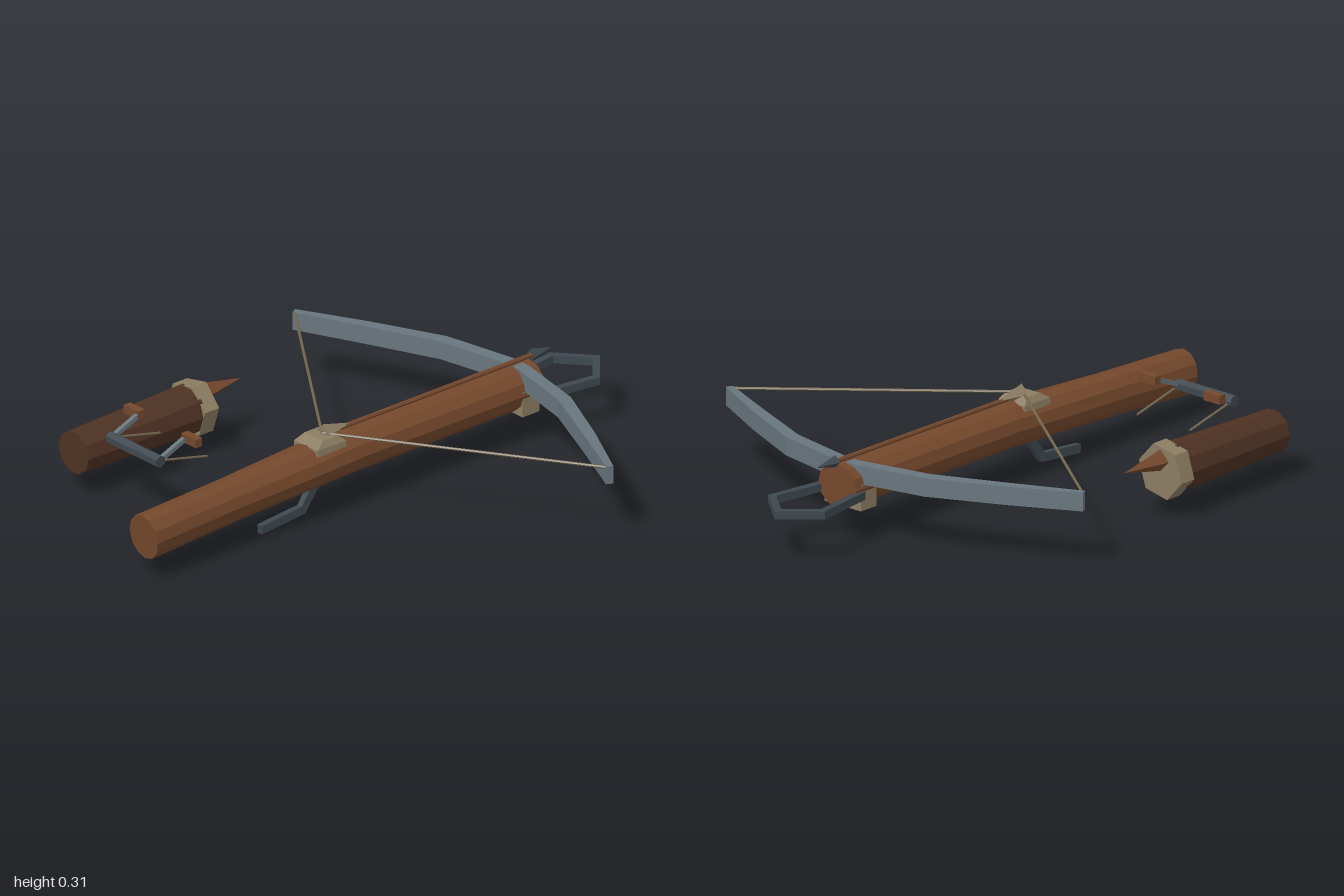
import * as THREE from 'three';

const mat = (color) => new THREE.MeshStandardMaterial({ color, flatShading: true });
const V = (x, y, z) => new THREE.Vector3(x, y, z);

// Closed skin over equal-sized rings of points, turned to face outward
function loft(rings) {
  const n = rings[0].length, pts = rings.flat(), idx = [];
  for (let i = 0; i < rings.length - 1; i++) {
    for (let j = 0; j < n; j++) {
      const a = i * n + j, b = i * n + (j + 1) % n;
      idx.push(a, b, a + n, b, b + n, a + n);
    }
  }
  const last = (rings.length - 1) * n;
  for (let j = 1; j < n - 1; j++) {
    idx.push(0, j + 1, j, last, last + j, last + j + 1);
  }
  let volume = 0;
  for (let i = 0; i < idx.length; i += 3) {
    volume += pts[idx[i]].dot(pts[idx[i + 1]].clone().cross(pts[idx[i + 2]]));
  }
  if (volume < 0) idx.reverse();
  const g = new THREE.BufferGeometry().setFromPoints(pts);
  g.setIndex(idx);
  const flat = g.toNonIndexed();
  flat.computeVertexNormals();
  return flat;
}

// Rectangular strip along a path lying in the plane with normal up, with mitred corners
function strip(path, up, widths, height) {
  return loft(path.map((p, i) => {
    const before = p.clone().sub(path[Math.max(i - 1, 0)]).normalize();
    const after = path[Math.min(i + 1, path.length - 1)].clone().sub(p).normalize();
    const side = up.clone().cross(before.clone().add(after)).normalize();
    const ends = i === 0 || i === path.length - 1;
    const cos = ends ? 1 : Math.sqrt((1 + before.dot(after)) / 2);
    const w = (Array.isArray(widths) ? widths[i] : widths) / 2 / cos;
    return [[1, 1], [-1, 1], [-1, -1], [1, -1]].map(([s, h]) =>
      p.clone().addScaledVector(side, s * w).addScaledVector(up, h * height / 2));
  }));
}

// Round or tapered rod from a to b
function rod(a, b, ra, rb = ra, sides = 6, turn = 0) {
  const d = b.clone().sub(a);
  const g = new THREE.CylinderGeometry(rb, ra, d.length(), sides);
  g.rotateY(turn);
  g.applyQuaternion(new THREE.Quaternion().setFromUnitVectors(V(0, 1, 0), d.normalize()));
  const m = a.clone().add(b).multiplyScalar(0.5);
  return g.translate(m.x, m.y, m.z);
}

const box = (x, y, z, w, h, d) => new THREE.BoxGeometry(w, h, d).translate(x, y, z);

export function createModel() {
  const model = new THREE.Group();
  const wood = mat(0x74482c), leather = mat(0x4e3222), steel = mat(0x68757d);
  const iron = mat(0x3e484f), bone = mat(0x8c7d62), cord = mat(0x74674f);
  const add = (name, geometry, material, parent = model) => {
    const mesh = new THREE.Mesh(geometry, material);
    mesh.name = name;
    parent.add(mesh);
    return mesh;
  };
  const group = (name) => {
    const g = new THREE.Group();
    g.name = name;
    model.add(g);
    return g;
  };

  // Stock: x, bottom, top, half width, lean of the end face
  const stations = [
    [-0.993, 0.07, 0.23, 0.07, -0.007], [-0.63, 0.092, 0.243, 0.072, -0.004],
    [-0.33, 0.105, 0.258, 0.084, 0], [-0.1, 0.112, 0.268, 0.084, 0], [0.69, 0.111, 0.265, 0.084, 0],
  ];
  add('stock', loft(stations.map(([x, lo, hi, w, lean]) =>
    Array.from({ length: 12 }, (_, i) => {
      const a = i / 12 * Math.PI * 2;
      return V(x + lean * Math.sin(a), (lo + hi) / 2 + (hi - lo) / 2 * Math.sin(a), w * Math.cos(a));
    }))), wood);
  add('bowMount', box(0.627, 0.157, 0, 0.075, 0.09, 0.162), bone);

  // Bow limbs as one curved strip, tapering to the tips
  const half = [[0.352, 0.785], [0.465, 0.555], [0.58, 0.3], [0.635, 0.03]];
  const limb = half.map(([x, z]) => V(x, 0.232, z));
  const otherLimb = half.map(([x, z]) => V(x, 0.232, -z)).reverse();
  add('bow', strip([...limb, ...otherLimb], V(0, 1, 0),
    [0.025, 0.04, 0.047, 0.045, 0.045, 0.047, 0.04, 0.025], 0.064), steel);
  for (const s of [1, -1]) {
    add('bowstring', rod(V(-0.215, 0.282, 0), V(0.35, 0.258, s * 0.778), 0.005), cord);
  }

  // Nut that holds the string: a low tapered block
  const nutRing = (y, x0, x1, w) => [V(x0, y, -w), V(x1, y, -w), V(x1, y, w), V(x0, y, w)];
  add('nut', loft([nutRing(0.235, -0.285, -0.16, 0.06), nutRing(0.258, -0.285, -0.16, 0.058),
    nutRing(0.28, -0.25, -0.185, 0.045)]), bone);

  // Loaded bolt
  const bolt = group('loadedBolt');
  add('boltShaft', rod(V(-0.2, 0.276, 0), V(0.71, 0.276, 0), 0.008), wood, bolt);
  add('boltHead', rod(V(0.7, 0.277, 0), V(0.79, 0.277, 0), 0.022, 0, 4), iron, bolt);
  add('boltFletching', rod(V(-0.21, 0.28, 0), V(-0.1, 0.28, 0), 0.032, 0.003, 4), bone, bolt);

  // Foot stirrup
  add('stirrup', strip([V(0.655, 0.166, 0.078), V(0.885, 0.166, 0.112), V(0.982, 0.166, 0),
    V(0.885, 0.166, -0.112), V(0.655, 0.166, -0.078)], V(0, 1, 0), 0.025, 0.028), iron);

  // Trigger lever
  add('trigger', strip([V(-0.235, 0.13, 0), V(-0.305, 0.033, 0), V(-0.487, 0.017, 0)],
    V(0, 0, 1), 0.03, 0.022), iron);

  // Quiver with rim and a spare bolt
  const quiver = group('quiver');
  const qy = 0.155, qz = -0.625;
  add('quiverBody', rod(V(-0.75, qy, qz), V(-0.25, qy, qz), 0.075, 0.087, 10), leather, quiver);
  const rim = add('quiverRim', new THREE.CylinderGeometry(0.097, 0.097, 0.062, 6).rotateZ(-Math.PI / 2)
    .rotateX(-0.32 + Math.PI / 6 * 2.2), bone, quiver);
  rim.position.set(-0.229, qy, qz);
  add('spareBolt', rod(V(-0.22, 0.195, qz), V(-0.02, 0.195, qz), 0.042, 0, 4), wood, quiver);

  // Spanning lever: grip bar, two arms with pegs and thin hooks
  const lever = group('spanningLever');
  add('leverBar', rod(V(-0.7, 0.24, -0.5), V(-0.7, 0.24, -0.25), 0.022, 0.022, 6), iron, lever);
  for (const [z, s] of [[-0.492, -1], [-0.258, 1]]) {
    add('leverArm', rod(V(-0.71, 0.238, z), V(-0.575, 0.292, z), 0.011, 0.011, 4, Math.PI / 4), steel, lever);
    add('leverPeg', box(-0.58, 0.29, z + s * 0.026, 0.028, 0.03, 0.072), wood, lever);
    add('leverHook', rod(V(-0.67, 0.235, z), V(-0.49, 0.192, z), 0.004), cord, lever);
  }
  return model;
}
